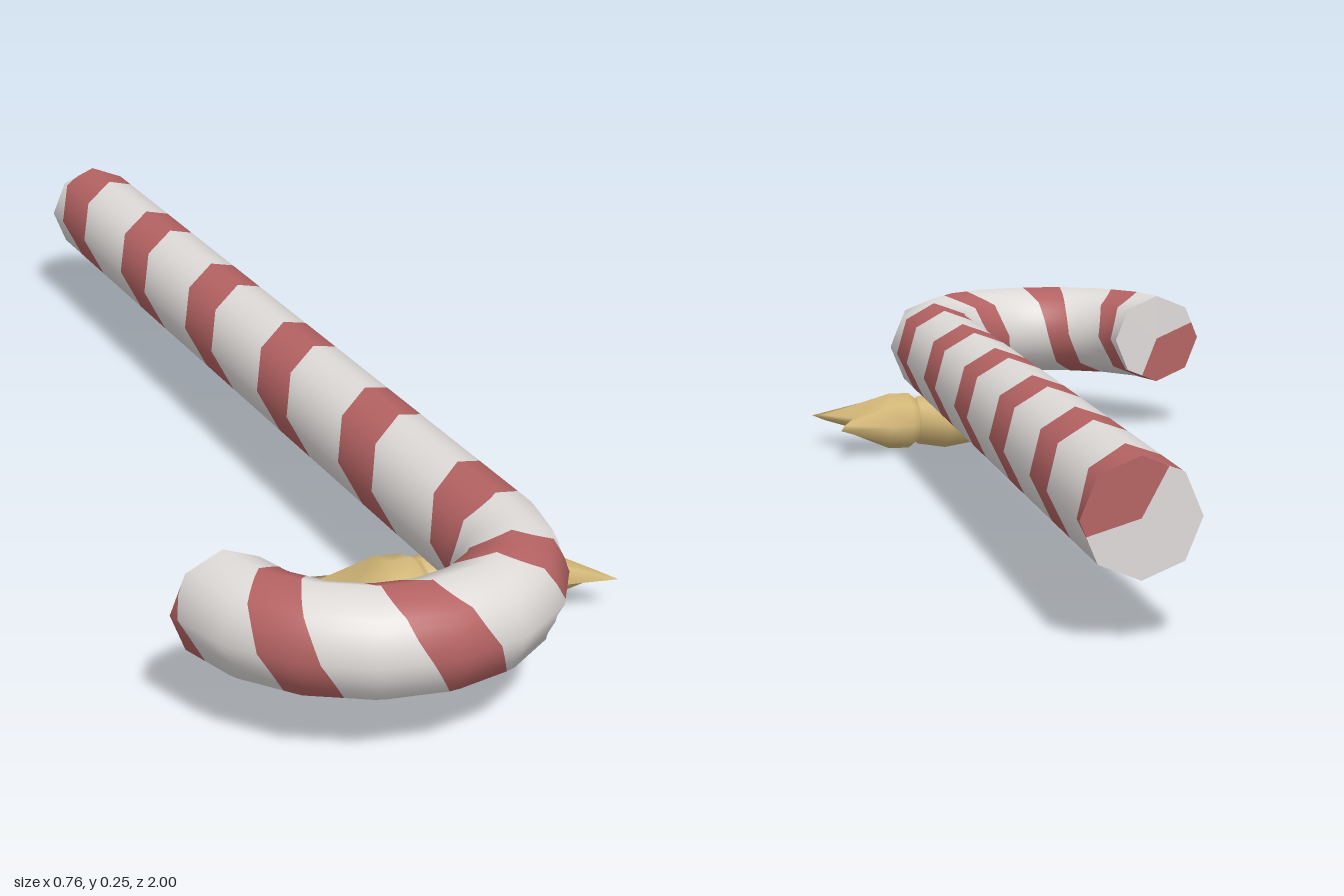
import * as THREE from 'three';

const red = new THREE.MeshStandardMaterial({ color: 0xb46262 });
const white = new THREE.MeshStandardMaterial({ color: 0xdedad8 });
const gold = new THREE.MeshStandardMaterial({ color: 0xd4b878 });
red.name = 'stripeRed';
white.name = 'candyWhite';
gold.name = 'bowGold';

const SIDES = 8, SEGMENTS = 8, COLUMNS = 32, RADIUS = 0.083, HEIGHT = 0.17;
const HALF_STRIPE = 0.19;

// stripe turns along the cane, and the ring index reached at each
const TURNS = [-3.11, 2.2, 3, 4, 5, 5.63];
const RINGS = [-1, 0, 2, 4.53, 6.66, SEGMENTS];
const FIRST = TURNS[0], LAST = TURNS[TURNS.length - 1];

function ringAt(turn) {
  let i = 0;
  while (i < TURNS.length - 2 && turn > TURNS[i + 1]) i++;
  return THREE.MathUtils.mapLinear(turn, TURNS[i], TURNS[i + 1], RINGS[i], RINGS[i + 1]);
}

// ring -1 is the foot of the shaft, rings 0 to 8 run round the hook
function ringFrame(i) {
  const a = Math.max(i, 0) / SEGMENTS * THREE.MathUtils.degToRad(174.5);
  const out = new THREE.Vector3(Math.cos(a), 0, Math.sin(a));
  const centre = new THREE.Vector3(-0.0775, HEIGHT, 0.695).addScaledVector(out, 0.22);
  if (i < 0) centre.z = -1;
  return { out, centre };
}

function corner(i, k) {
  const { out, centre } = ringFrame(i), a = k / SIDES * Math.PI * 2;
  centre.addScaledVector(out, RADIUS * Math.sin(a));
  centre.y += RADIUS * Math.cos(a);
  return centre;
}

// point on the eight-sided tube; around runs 0 to 1 from the top outwards
function canePoint(ring, around) {
  const i = Math.min(Math.floor(ring), SEGMENTS - 1), f = ring - i;
  const k = Math.floor(around * SIDES), g = around * SIDES - k;
  const a = corner(i, k).lerp(corner(i, k + 1), g);
  return a.lerp(corner(i + 1, k).lerp(corner(i + 1, k + 1), g), f);
}

function caneNormal(ring, around) {
  const a = around * Math.PI * 2;
  const n = ringFrame(ring).out.multiplyScalar(Math.sin(a));
  n.y = Math.cos(a);
  return n;
}

function makeGeometry(positions, normals) {
  const g = new THREE.BufferGeometry();
  g.setAttribute('position', new THREE.Float32BufferAttribute(positions, 3));
  g.setAttribute('normal', new THREE.Float32BufferAttribute(normals, 3));
  return g;
}

// helical bands covering turns from..to of every full turn
function helixBands(from, to, rows) {
  const pos = [], nor = [];
  const add = (turn, around) => {
    const ring = ringAt(turn);
    pos.push(...canePoint(ring, around).toArray());
    nor.push(...caneNormal(ring, around).toArray());
  };
  for (let n = -5; n <= 7; n++) for (let r = 0; r < rows; r++) for (let c = 0; c < COLUMNS; c++) {
    const a0 = c / COLUMNS, a1 = (c + 1) / COLUMNS;
    const at = (row, a) => THREE.MathUtils.clamp(n + from + (to - from) * row / rows - a, FIRST, LAST);
    const p = at(r, a0), q = at(r + 1, a0), s = at(r, a1), t = at(r + 1, a1);
    if (q > p) { add(p, a0); add(q, a0); add(s, a1); }
    if (t > s) { add(q, a0); add(t, a1); add(s, a1); }
  }
  return makeGeometry(pos, nor);
}

// flat end, with the stripe running on as a wedge
function endCap(turn, ring, wantRed) {
  const pos = [], nor = [], slices = 64, end = ring > 0;
  const { out, centre } = ringFrame(ring);
  const normal = new THREE.Vector3(-out.z, 0, out.x).multiplyScalar(end ? 1 : -1);
  for (let c = 0; c < slices; c++) {
    const phase = turn + (c + 0.5) / slices;
    if ((Math.abs(phase - Math.round(phase)) < HALF_STRIPE) !== wantRed) continue;
    const a = canePoint(ring, c / slices), b = canePoint(ring, (c + 1) / slices);
    for (const v of end ? [centre, b, a] : [centre, a, b]) {
      pos.push(...v.toArray());
      nor.push(...normal.toArray());
    }
  }
  return makeGeometry(pos, nor);
}

// loft of eight-sided sections [x, half height, half depth, front sweep, back sweep]
function loft(sections) {
  const pos = [], index = [], N = 8;
  for (const [x, h, d, front = 0, back = 0] of sections) for (let j = 0; j < N; j++) {
    const a = j / N * Math.PI * 2, c = Math.cos(a);
    pos.push(x + (c > 0 ? c * front : -c * back), h * Math.sin(a), d * c);
  }
  const last = sections.length - 1;
  for (let i = 0; i < last; i++) for (let j = 0; j < N; j++) {
    const k = (j + 1) % N, a = i * N + j, b = i * N + k;
    index.push(a, a + N, b, b, a + N, b + N);
  }
  // close both ends
  pos.push(sections[0][0], 0, 0, sections[last][0], 0, 0);
  const start = (last + 1) * N;
  for (let j = 0; j < N; j++) {
    const k = (j + 1) % N;
    index.push(start, j, k, start + 1, last * N + k, last * N + j);
  }
  const g = new THREE.BufferGeometry();
  g.setAttribute('position', new THREE.Float32BufferAttribute(pos, 3));
  g.setIndex(index);
  g.computeVertexNormals();
  return g;
}

export function createModel() {
  const model = new THREE.Group();
  model.name = 'candyCane';
  const add = (parent, name, geometry, material) => {
    const mesh = new THREE.Mesh(geometry, material);
    mesh.name = name;
    parent.add(mesh);
    return mesh;
  };

  // striped cane
  const cane = new THREE.Group();
  cane.name = 'cane';
  model.add(cane);
  add(cane, 'redStripe', helixBands(-HALF_STRIPE, HALF_STRIPE, 6), red);
  add(cane, 'whiteStripe', helixBands(HALF_STRIPE, 1 - HALF_STRIPE, 10), white);
  for (const [name, turn, ring] of [['foot', FIRST, -1], ['hook', LAST, SEGMENTS]]) {
    add(cane, name + 'EndRed', endCap(turn, ring, true), red);
    add(cane, name + 'EndWhite', endCap(turn, ring, false), white);
  }

  // bow tied beneath the shaft
  const bow = new THREE.Group();
  bow.name = 'bow';
  bow.position.set(0.145, 0.0525, 0.56);
  model.add(bow);
  add(bow, 'bowKnot', loft([
    [-0.058, 0.034, 0.045], [-0.052, 0.044, 0.055], [0, 0.0525, 0.062],
    [0.052, 0.044, 0.055], [0.058, 0.034, 0.045],
  ]), gold);
  const wing = loft([
    [0.045, 0.032, 0.045], [0.068, 0.051, 0.066], [0.105, 0.051, 0.075, 0.01, 0.005],
    [0.17, 0.007, 0.095, 0.065, 0.035],
  ]);
  add(bow, 'leftBowWing', wing, gold);
  add(bow, 'rightBowWing', wing, gold).scale.x = -1;
  return model;
}
